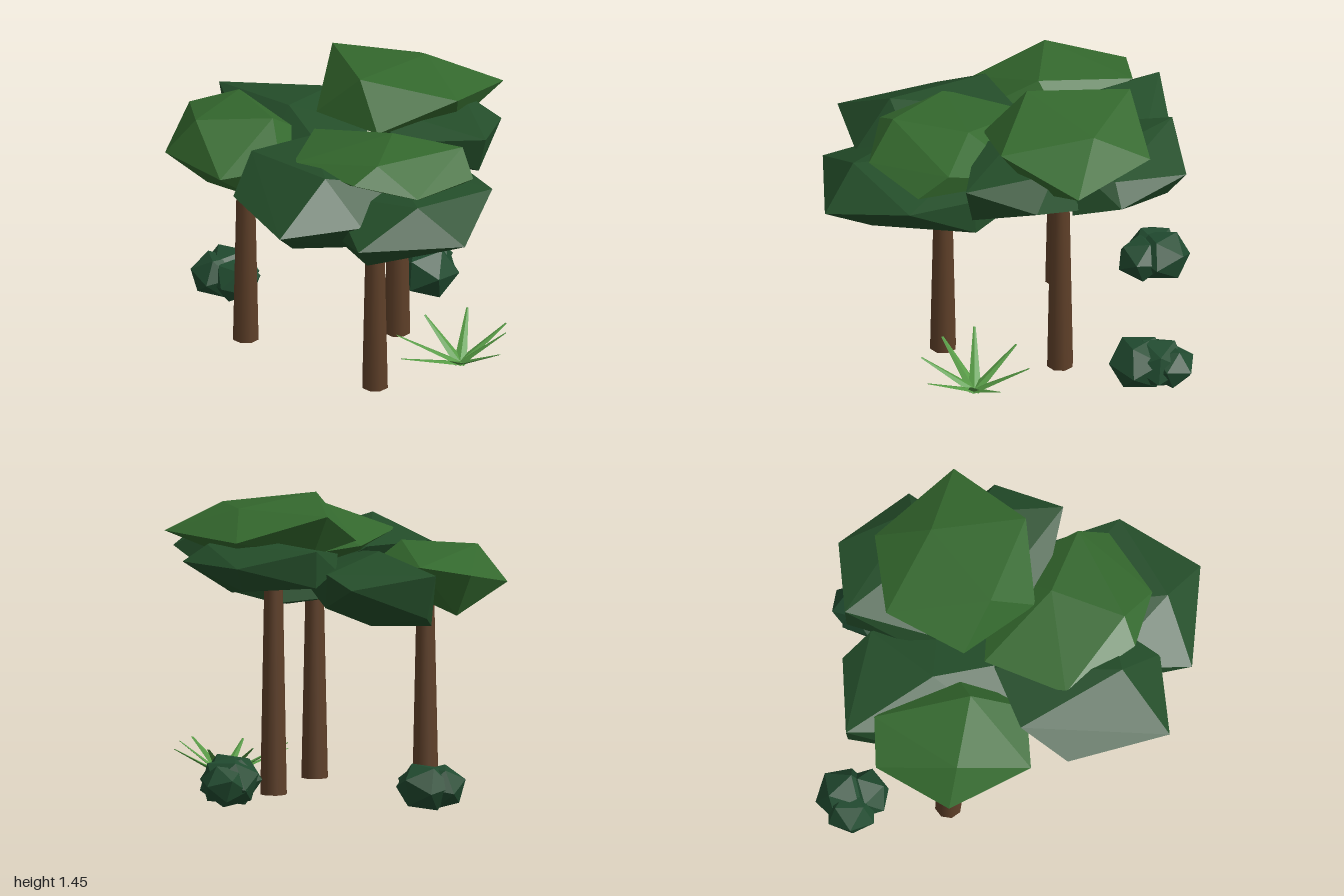
import * as THREE from 'three';
import { ConvexGeometry } from 'three/addons/geometries/ConvexGeometry.js';

const mat = (color, flatShading = true) => new THREE.MeshStandardMaterial({ color, flatShading });

export function createModel() {
  const model = new THREE.Group();
  const bark = mat(0x5f4029, false), darkLeaf = mat(0x244e2a), lightLeaf = mat(0x34692e);
  const bushLeaf = mat(0x214b30), grassLeaf = mat(0x569a44);

  const add = (parent, name, geometry, material) => {
    const mesh = new THREE.Mesh(geometry, material);
    mesh.name = name;
    parent.add(mesh);
    return mesh;
  };

  // A tapered trunk in its own tree group
  const tree = (name, x, z, top) => {
    const group = new THREE.Group();
    group.name = name;
    const trunk = add(group, 'trunk', new THREE.CylinderGeometry(0.044, 0.066, top - 0.01, 8), bark);
    trunk.position.set(x, (top + 0.01) / 2, z);
    model.add(group);
    return group;
  };

  // A faceted leaf mass spanned by its corner points
  const foliage = (parent, name, material, corners) =>
    add(parent, name, new ConvexGeometry(corners.map((c) => new THREE.Vector3(...c))), material);

  // Front tree
  const front = tree('frontTree', -0.05, 0.335, 1.0);
  foliage(front, 'leftFoliage', darkLeaf, [
    [-0.71, 1.08, 0.14], [-0.69, 1.08, 0.65], [-0.53, 1.2, -0.05], [-0.38, 1.27, 0.49],
    [-0.28, 1.08, 0.7], [-0.49, 0.85, 0.35], [-0.2, 0.87, 0.5],
    [-0.25, 0.88, 0.06], [0.08, 1.02, -0.02], [0.05, 1.15, 0.5], [-0.2, 1.19, -0.1]]);
  foliage(front, 'frontFoliage', darkLeaf, [
    [0.13, 1.035, 1.0], [-0.36, 1.03, 0.84], [-0.03, 1.185, 0.8], [0.42, 1.135, 0.67],
    [0.39, 0.94, 0.32], [0.1, 0.865, 0.3], [-0.27, 0.895, 0.74], [0.1, 0.895, 0.75],
    [-0.3, 1.12, 0.4], [0.39, 1.12, 0.33], [-0.3, 0.9, 0.3], [0.05, 1.17, 0.2], [0.2, 0.9, 0.1]]);
  foliage(front, 'topFoliage', lightLeaf, [
    [-0.135, 1.32, 0.56], [0.08, 1.31, 0.25], [0.36, 1.27, 0.45], [0.35, 1.17, 0.6],
    [-0.42, 1.23, 0.2], [-0.27, 1.25, 0.58], [-0.16, 1.2, -0.14], [0, 1.19, 0.73],
    [0.3, 1.12, 0], [-0.2, 1.05, 0.15], [0.15, 1.05, 0.5]]);

  // Back left tree
  const back = tree('backTree', -0.415, -0.38, 0.98);
  foliage(back, 'outerFoliage', lightLeaf, [
    [-0.8, 1.05, -0.47], [-0.54, 1.13, -0.77], [-0.67, 1.23, -0.4], [-0.7, 1.08, -0.04],
    [-0.4, 1.1, 0.01], [-0.3, 1.17, -0.72], [-0.33, 1.24, -0.25], [-0.63, 0.91, -0.35],
    [-0.5, 0.92, -0.65], [-0.5, 0.92, -0.1], [-0.12, 1.1, -0.3]]);
  foliage(back, 'innerFoliage', darkLeaf, [
    [-0.34, 1.15, -0.87], [0.06, 1.08, -0.79], [-0.3, 0.94, -0.85], [0.14, 1.14, -0.63],
    [0.1, 0.95, -0.45], [-0.1, 0.87, -0.54], [0.18, 1.09, -0.28], [0.02, 1.0, 0.06],
    [-0.18, 0.87, -0.07], [-0.4, 0.86, -0.55], [-0.45, 1.0, -0.12], [-0.18, 1.21, -0.4],
    [-0.15, 0.9, 0.1], [-0.18, 1.15, 0.06]]);

  // Tallest tree
  const tall = tree('tallTree', 0.28, -0.147, 1.16);
  foliage(tall, 'frontFoliage', darkLeaf, [
    [0.71, 1.2, 0.12], [0.5, 1.26, 0.41], [0.48, 1.08, 0.37], [0.1, 1.24, 0.22],
    [0.14, 1.31, 0], [0.56, 1.31, -0.02], [0.6, 1.1, -0.15], [0.05, 1.1, 0.05],
    [0.4, 1.04, 0.01], [0.25, 1.1, -0.35], [0.2, 1.28, -0.25]]);
  foliage(tall, 'backFoliage', darkLeaf, [
    [0.22, 1.27, -0.74], [0.6, 1.19, -0.68], [0.77, 1.18, -0.29], [0.22, 1.09, -0.73],
    [0.55, 1.07, -0.6], [0.56, 1.04, -0.42], [0.06, 1.14, -0.5], [0.25, 1.05, -0.2],
    [0.65, 1.26, -0.3], [0.5, 1.29, -0.15], [0.0, 1.19, -0.3], [0.6, 1.08, -0.1]]);
  foliage(tall, 'topFoliage', lightLeaf, [
    [0.045, 1.46, -0.06], [0.48, 1.42, -0.25], [0.12, 1.41, -0.56], [0.56, 1.29, -0.51],
    [0.8, 1.3, -0.06], [0.44, 1.39, 0.21], [0.04, 1.27, 0.16], [-0.11, 1.24, -0.23],
    [0.15, 1.2, -0.4], [0.5, 1.18, -0.3], [0.5, 1.18, 0.05], [0.15, 1.18, 0.02]]);

  // Bushes: overlapping faceted lumps [x, y, z, radius]
  const bushes = {
    rightBush: [[0.57, 0.135, -0.45, 0.148], [0.6, 0.135, -0.53, 0.142], [0.64, 0.13, -0.59, 0.115]],
    backBush: [[-0.285, 0.125, -0.865, 0.136], [-0.365, 0.122, -0.85, 0.124], [-0.3, 0.12, -0.765, 0.12]],
  };
  for (const [name, lumps] of Object.entries(bushes)) {
    const group = new THREE.Group();
    group.name = name;
    lumps.forEach(([x, y, z, r], i) => {
      const geometry = new THREE.IcosahedronGeometry(r, 0)
        .rotateX(0.4 + i * 1.3).rotateY(i * 0.9).rotateZ(0.2 + i * 0.7).scale(1.05, 0.92, 1.05);
      add(group, 'lump', geometry, bushLeaf).position.set(x, y, z);
    });
    model.add(group);
  }

  // Grass tuft: flat tapered blades fanning out from one root
  const grass = new THREE.Group();
  grass.name = 'grassTuft';
  const root = new THREE.Vector3(0.4, 0.035, 0.33);
  const tips = [[0.49, 0.19, 0.6], [0.6, 0.2, 0.42], [0.66, 0.18, 0.29], [0.54, 0.2, 0.1],
    [0.32, 0.2, 0.09], [0.11, 0.2, 0.23], [0.07, 0.15, 0.38], [0.25, 0.18, 0.55]];
  for (const tip of tips) {
    const end = new THREE.Vector3(...tip);
    const length = root.distanceTo(end);
    const geometry = new THREE.CylinderGeometry(0.006, 0.032, length, 4)
      .rotateX(Math.PI / 2).translate(0, 0, length / 2).scale(1, 0.3, 1);
    const blade = add(grass, 'blade', geometry, grassLeaf);
    blade.position.copy(root);
    blade.lookAt(end);
  }
  model.add(grass);

  return model;
}
